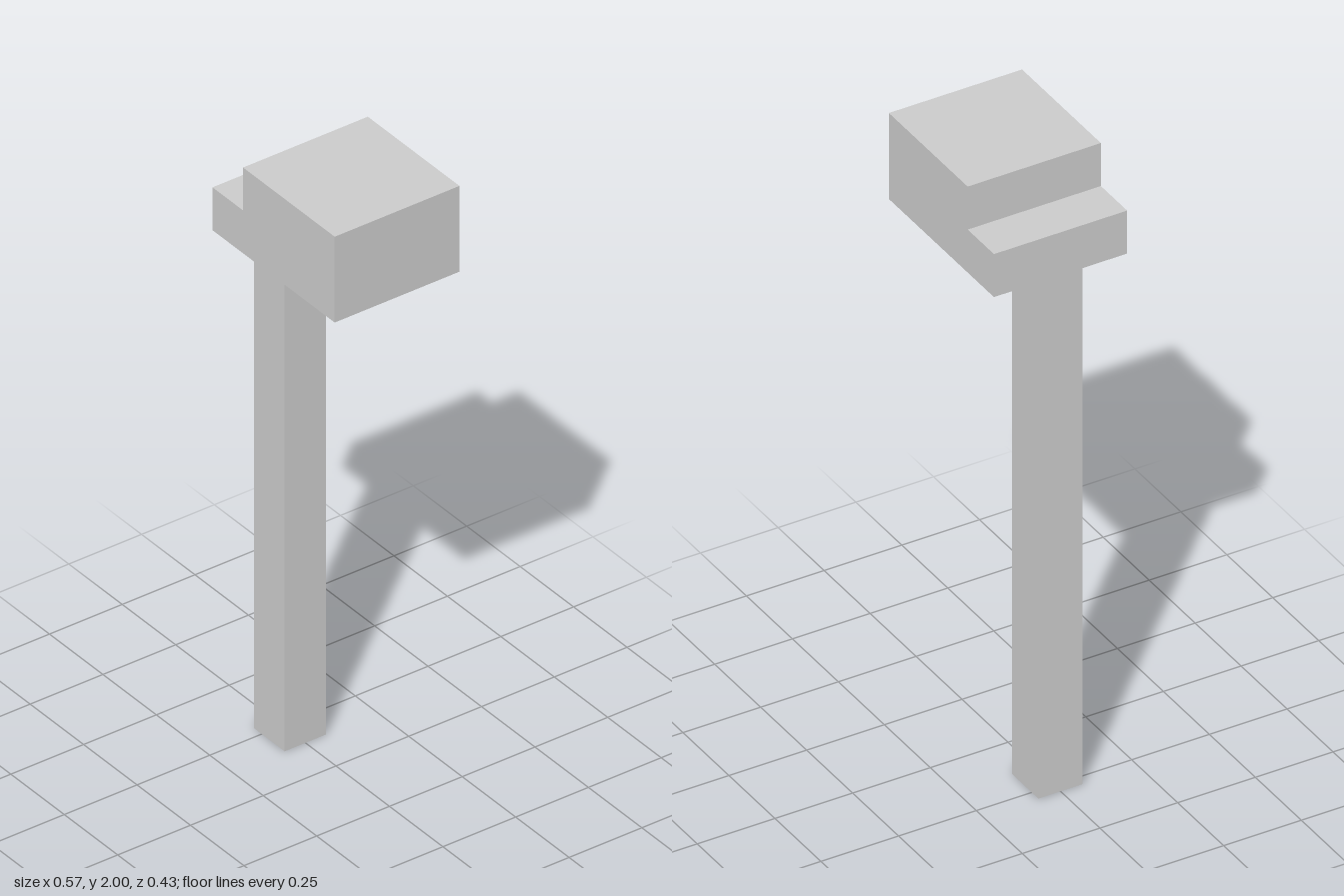
import * as THREE from 'three';

const U = 1 / 7; // block unit: the model is 14 units tall

export function createModel() {
  const group = new THREE.Group();
  const material = new THREE.MeshStandardMaterial({ color: 0xcccccc, flatShading: true });

  // Square upright handle, flush with the stepped end of the head
  const handle = new THREE.Mesh(new THREE.BoxGeometry(U, 12 * U, U), material);
  handle.name = 'handle';
  handle.position.set(-1.5 * U, 6 * U, 0);
  group.add(handle);

  // Head: stepped side profile extruded across the depth
  const profile = [[-2, 12], [2, 12], [2, 14], [-1, 14], [-1, 13], [-2, 13]];
  const shape = new THREE.Shape(profile.map(([x, y]) => new THREE.Vector2(x * U, y * U)));
  const headGeometry = new THREE.ExtrudeGeometry(shape, { depth: 3 * U, bevelEnabled: false });
  headGeometry.translate(0, 0, -1.5 * U);
  const head = new THREE.Mesh(headGeometry, material);
  head.name = 'head';
  group.add(head);

  return group;
}
